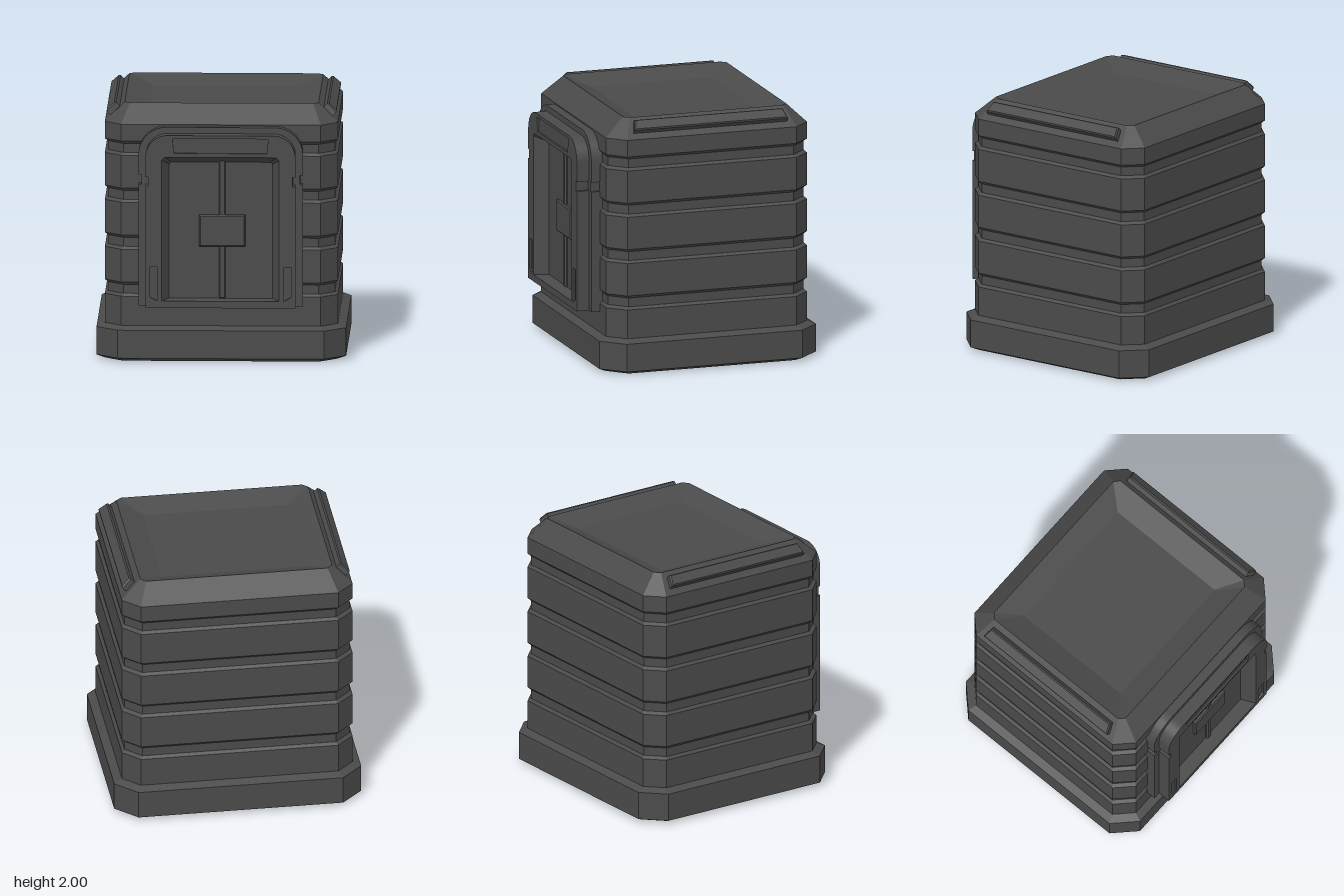
import * as THREE from 'three';

const material = new THREE.MeshStandardMaterial({ color: 0x4a4a4a, flatShading: true, side: THREE.DoubleSide });

function addMesh(parent, name, geometry) {
  const mesh = new THREE.Mesh(geometry, material);
  mesh.name = name;
  parent.add(mesh);
  return mesh;
}

// Eight-sided ring: rectangle with cut corners, half sizes hx and hz, corner cut c, height y
function ring(hx, hz, c, y, cz = -0.054) {
  return [
    [-hx + c, hz], [hx - c, hz], [hx, hz - c], [hx, -hz + c],
    [hx - c, -hz], [-hx + c, -hz], [-hx, -hz + c], [-hx, hz - c],
  ].map(([x, z]) => new THREE.Vector3(x, y, z + cz));
}

// Skin between successive rings, optionally closed with a flat cap on the last one
function loft(rings, cap = false) {
  const points = [];
  for (let k = 0; k < rings.length - 1; k++) {
    const a = rings[k], b = rings[k + 1], n = a.length;
    for (let i = 0; i < n; i++) {
      const j = (i + 1) % n;
      points.push(a[i], a[j], b[j], a[i], b[j], b[i]);
    }
  }
  if (cap) {
    const last = rings[rings.length - 1];
    for (let i = 1; i < last.length - 1; i++) points.push(last[0], last[i], last[i + 1]);
  }
  const geometry = new THREE.BufferGeometry().setFromPoints(points);
  geometry.computeVertexNormals();
  return geometry;
}

function polygon(points, Type = THREE.Shape) {
  return new Type(points.map(([x, y]) => new THREE.Vector2(x, y)));
}

// Arched door surround with a notch on both sides
function archShape(w, top, r) {
  const notch = 0.022, s = new THREE.Shape();
  s.moveTo(-w, 0.446);
  s.lineTo(w, 0.446);
  s.lineTo(w, 1.4);
  s.lineTo(w - notch, 1.4);
  s.lineTo(w - notch, 1.475);
  s.lineTo(w, 1.475);
  s.lineTo(w, top - r);
  s.absarc(w - r, top - r, r, 0, Math.PI / 2, false);
  s.absarc(-w + r, top - r, r, Math.PI / 2, Math.PI, false);
  s.lineTo(-w, 1.475);
  s.lineTo(-w + notch, 1.475);
  s.lineTo(-w + notch, 1.4);
  s.lineTo(-w, 1.4);
  s.closePath();
  return s;
}

// Extrusion from z0 to z1, with an optional inset chamfer on its edges
function extrude(shape, z0, z1, chamfer = 0) {
  return new THREE.ExtrudeGeometry(shape, {
    depth: z1 - z0 - 2 * chamfer, curveSegments: 10,
    bevelEnabled: chamfer > 0, bevelSegments: 1,
    bevelSize: chamfer, bevelThickness: chamfer, bevelOffset: -chamfer,
  }).translate(0, 0, z0 + chamfer);
}

function box(x0, x1, y0, y1, z0, z1) {
  return new THREE.BoxGeometry(x1 - x0, y1 - y0, z1 - z0)
    .translate((x0 + x1) / 2, (y0 + y1) / 2, (z0 + z1) / 2);
}

export function createModel() {
  const model = new THREE.Group();
  model.name = 'shelter';

  // Plinth, open underneath
  addMesh(model, 'base', loft([
    ring(0.9, 0.82, 0.14, 0),
    ring(0.966, 0.885, 0.167, 0.03),
    ring(0.966, 0.885, 0.167, 0.25),
    ring(0.902, 0.822, 0.13, 0.278),
  ]));

  // Walls with four recessed grooves
  const walls = [ring(0.902, 0.822, 0.13, 0.278)];
  for (let i = 0; i < 4; i++) {
    const y = 0.506 + i * 0.369;
    walls.push(
      ring(0.902, 0.822, 0.13, y), ring(0.88, 0.8, 0.125, y + 0.02),
      ring(0.88, 0.8, 0.125, y + 0.09), ring(0.902, 0.822, 0.13, y + 0.112));
  }
  walls.push(ring(0.902, 0.822, 0.13, 1.857));
  addMesh(model, 'walls', loft(walls));

  // Sloped roof with a gently sunken middle
  addMesh(model, 'roof', loft([
    ring(0.902, 0.822, 0.13, 1.857),
    ring(0.75, 0.668, 0.04, 2, -0.06),
    ring(0.56, 0.493, 0.005, 1.93, -0.06),
  ], true));

  // Chamfered rails lying on the side slopes of the roof
  const down = new THREE.Vector3(0.73, -0.683, 0).normalize();
  const out = new THREE.Vector3(0.683, 0.73, 0).normalize();
  const placement = new THREE.Matrix4()
    .makeBasis(new THREE.Vector3(0, 0, 1), down, out)
    .setPosition(0.825, 1.93, 0);
  const railShape = polygon([[-0.605, -0.048], [0.605, -0.048], [0.628, 0.048], [-0.628, 0.048]]);
  for (const [name, turn] of [['leftRoofRail', 0], ['rightRoofRail', Math.PI]]) {
    const rail = addMesh(model, name, extrude(railShape, -0.015, 0.05, 0.01).applyMatrix4(placement));
    rail.position.z = -0.0545;
    rail.rotation.y = turn;
  }

  const door = new THREE.Group();
  door.name = 'doorway';
  model.add(door);

  // Stepped surround: wide rear layer, narrower front layer, thin face with shallow recesses
  const opening = [[-0.455, 0.5], [0.455, 0.5], [0.455, 1.605], [0.43, 1.63], [-0.43, 1.63], [-0.455, 1.605]];
  const rear = archShape(0.636, 1.847, 0.215);
  const front = archShape(0.58, 1.8, 0.17);
  const face = archShape(0.58, 1.8, 0.17);
  for (const s of [rear, front, face]) s.holes.push(polygon(opening, THREE.Path));
  face.holes.push(polygon([[-0.36, 1.66], [0.36, 1.66], [0.37, 1.775], [-0.37, 1.775]], THREE.Path));
  for (const s of [-1, 1]) {
    face.holes.push(polygon([[s * 0.49, 0.5], [s * 0.545, 0.53], [s * 0.545, 0.77], [s * 0.49, 0.77]], THREE.Path));
  }
  addMesh(door, 'rearSurround', extrude(rear, 0.75, 0.84));
  addMesh(door, 'frontSurround', extrude(front, 0.84, 0.925));
  addMesh(door, 'surroundFace', extrude(face, 0.925, 0.94));

  // Tapered reveal leading in to the door leaves
  const outer = opening.map(([x, y]) => new THREE.Vector3(x, y, 0.94));
  const inner = [[-0.4, 0.505], [0.4, 0.505], [0.4, 1.56], [0.385, 1.575], [-0.385, 1.575], [-0.4, 1.56]]
    .map(([x, y]) => new THREE.Vector3(x, y, 0.83));
  addMesh(door, 'doorReveal', loft([outer, inner]));

  // Door leaves
  const seam = 0.012;
  addMesh(door, 'rightDoorLeaf', box(-0.44, seam, 0.5, 1.6, 0.78, 0.83));
  addMesh(door, 'leftDoorLeaf', box(seam, 0.44, 0.5, 1.6, 0.78, 0.83));

  // Chamfered centre strips and lock plate
  const strip = (y0, y1) => polygon([[seam - 0.026, y0], [seam + 0.026, y0], [seam + 0.026, y1], [seam - 0.026, y1]]);
  addMesh(door, 'lowerCentreStrip', extrude(strip(0.505, 0.93), 0.82, 0.85, 0.01));
  addMesh(door, 'upperCentreStrip', extrude(strip(1.15, 1.6), 0.82, 0.85, 0.01));
  const w = 0.178;
  const plate = polygon([[seam - w, 0.915], [seam + w, 0.915], [seam + w, 1.162], [seam - w, 1.162]]);
  addMesh(door, 'lockPlate', extrude(plate, 0.82, 0.86, 0.01));

  return model;
}
